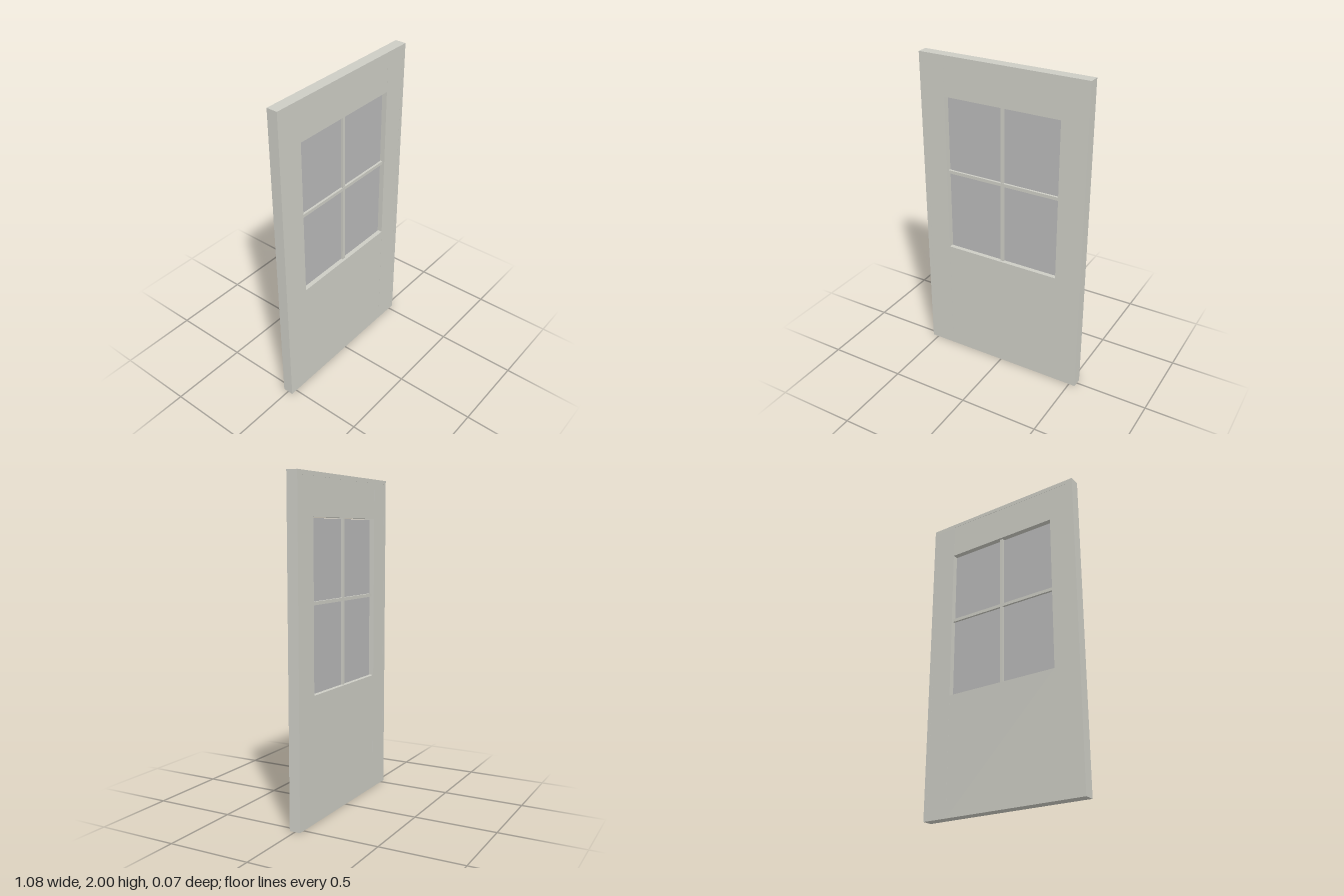
import * as THREE from 'three';

export function createModel() {
  const group = new THREE.Group();
  const paint = new THREE.MeshStandardMaterial({ color: 0xccccc4 });
  const glass = new THREE.MeshStandardMaterial({ color: 0xb8b8b8 });

  // Box given by its x and y limits and its depth, centred on z = 0
  const slab = (name, x0, x1, y0, y1, depth, material = paint) => {
    const mesh = new THREE.Mesh(new THREE.BoxGeometry(x1 - x0, y1 - y0, depth), material);
    mesh.position.set((x0 + x1) / 2, (y0 + y1) / 2, 0);
    mesh.name = name;
    group.add(mesh);
  };

  const W = 0.54, H = 2, D = 0.068;   // half width, height, depth
  const edge = 0.025;                 // outer edge strip
  const inner = 0.375;                // half width between the stiles
  const sill = 0.755, head = 1.755;   // window opening
  const barY = 1.275, bar = 0.01;     // glazing bar height and half width

  // Outer edge strips and stiles, one pair per side
  for (const [side, s] of [['left', 1], ['right', -1]]) {
    const span = (a, b) => [Math.min(s * a, s * b), Math.max(s * a, s * b)];
    slab(side + 'EdgeStrip', ...span(W - edge, W), 0, H - edge, D);
    slab(side + 'Stile', ...span(inner, W - edge), 0, H - edge, D - 0.001);
  }
  slab('topEdgeStrip', -W, W, H - edge, H, D);

  // Rail above the window and solid panel below it
  slab('topRail', -inner, inner, head, H - edge, D - 0.002);
  slab('lowerPanel', -inner, inner, 0, sill, D - 0.002);

  // Glazing bars
  slab('verticalGlazingBar', -bar, bar, sill, head, 0.036);
  slab('horizontalGlazingBar', -inner, inner, barY - bar, barY + bar, 0.038);

  // Four panes, with a slim gap to the stiles and top rail
  const g = 0.37;
  for (const [x0, x1] of [[-g, -bar], [bar, g]])
    for (const [y0, y1] of [[sill, barY - bar], [barY + bar, head - 0.005]])
      slab('glassPane', x0, x1, y0, y1, 0.01, glass);

  return group;
}
